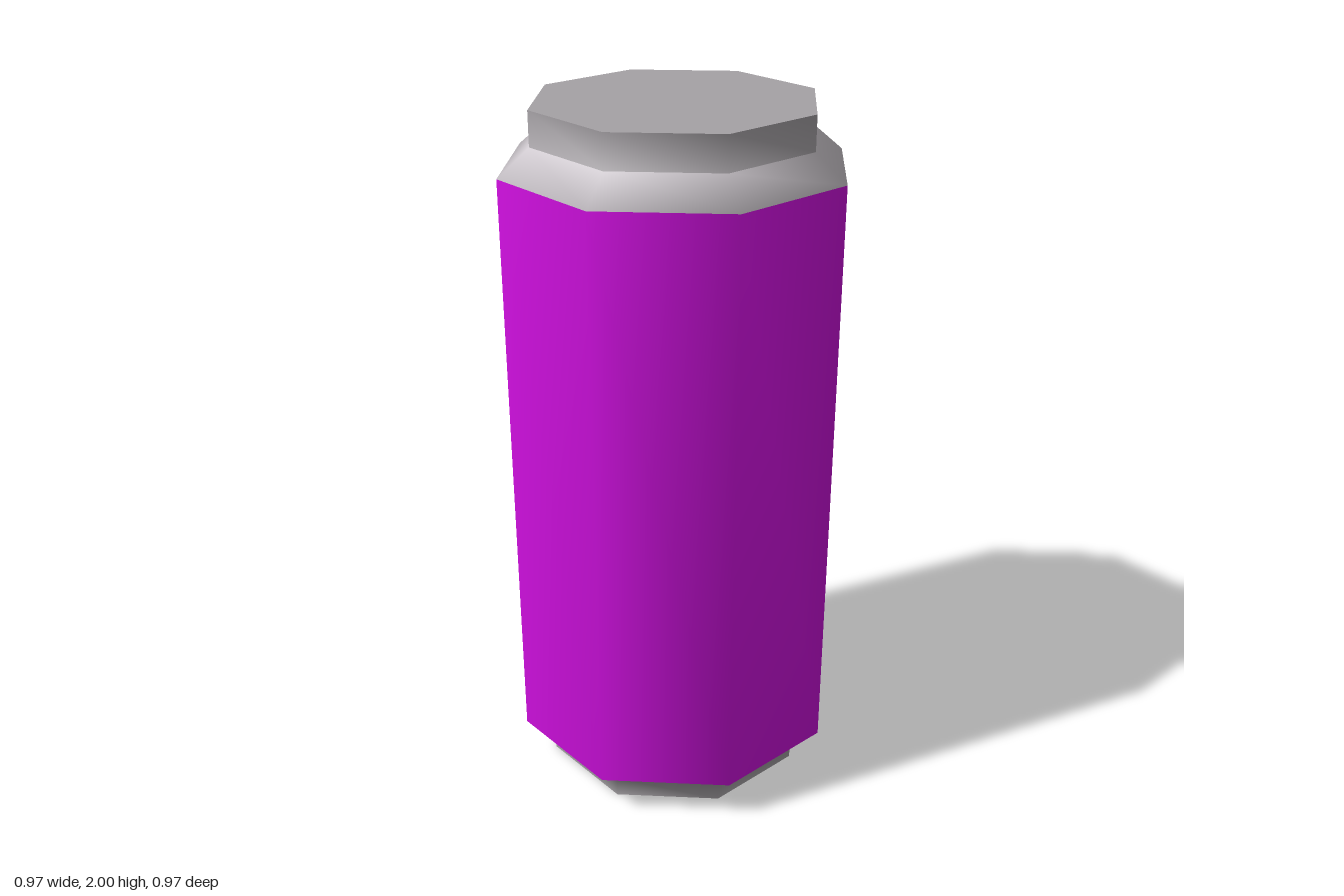
import * as THREE from 'three';

const SIDES = 8;

function material(name, color) {
  const m = new THREE.MeshStandardMaterial({ color });
  m.name = name;
  return m;
}

export function createModel() {
  const group = new THREE.Group();
  group.name = 'drinkCan';

  const darkMetal = material('darkMetal', 0xa6a2a6);
  const lightMetal = material('lightMetal', 0xd8d2d8);
  const purple = material('purplePaint', 0xd010e0);

  // Can wall: bottom rim, lower shoulder, painted body, upper shoulder, top rim
  const rim = 0.395, body = 0.484;
  const profile = [
    [rim, 0], [rim, 0.06], [body, 0.12], [body, 1.83], [rim, 1.905], [rim, 2],
  ].map(([r, y]) => new THREE.Vector2(r, y));
  const wall = new THREE.LatheGeometry(profile, SIDES);

  // One material per band of the profile
  const bandMaterial = [0, 1, 2, 1, 0];
  wall.clearGroups();
  for (let i = 0; i < SIDES; i++) {
    bandMaterial.forEach((m, j) => wall.addGroup((i * bandMaterial.length + j) * 6, 6, m));
  }
  const wallMesh = new THREE.Mesh(wall, [darkMetal, lightMetal, purple]);
  wallMesh.name = 'canWall';
  group.add(wallMesh);

  // Flat lid and base
  for (const [name, y, tilt] of [['lid', 2, -Math.PI / 2], ['base', 0, Math.PI / 2]]) {
    const cap = new THREE.Mesh(new THREE.CircleGeometry(rim, SIDES), darkMetal);
    cap.name = name;
    cap.position.y = y;
    cap.rotation.x = tilt;
    group.add(cap);
  }

  return group;
}
